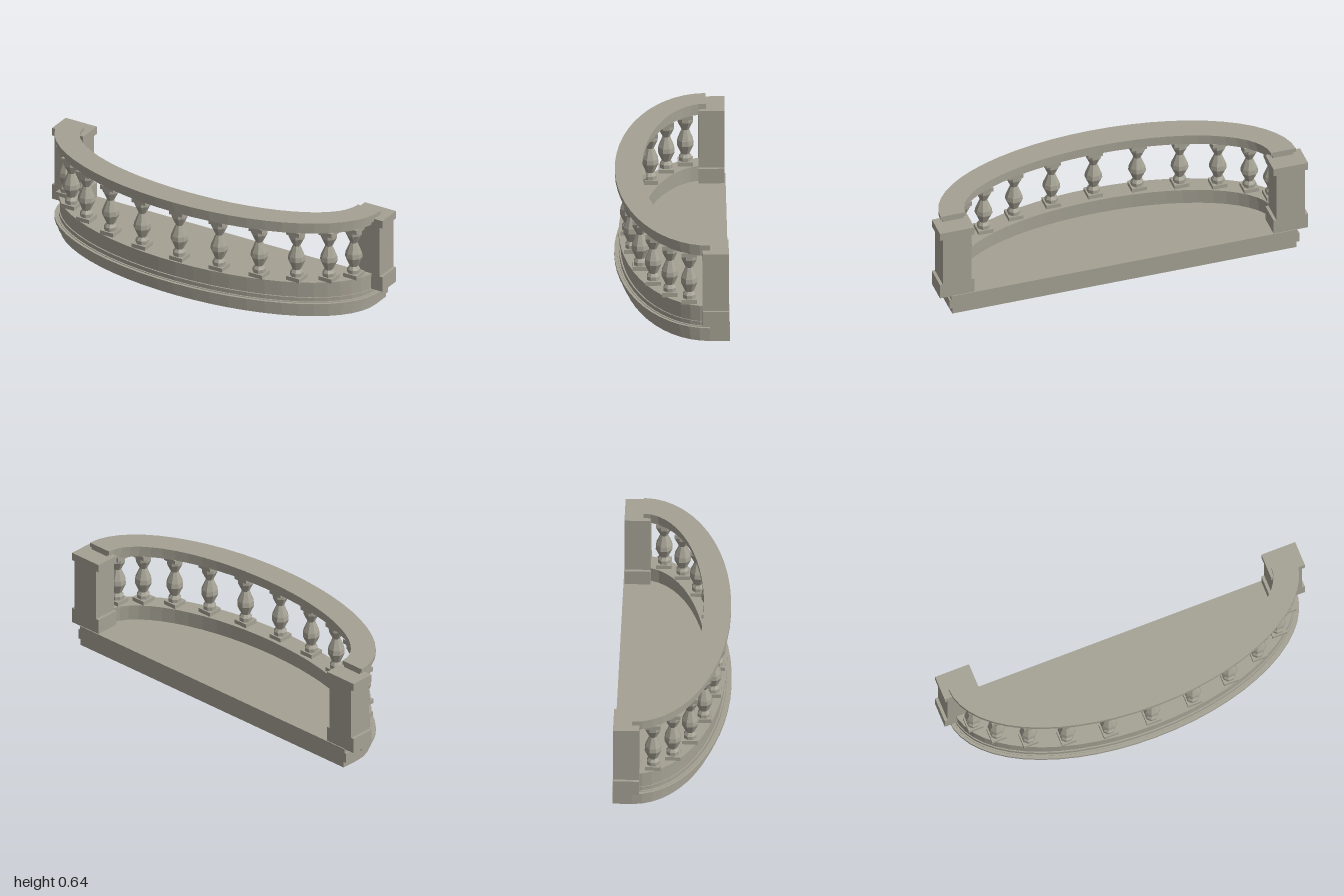
import * as THREE from 'three';

const CZ = -0.19;   // centre line of the half ellipses
const BACK = -0.292;
const SEG = 28;

export function createModel() {
  const model = new THREE.Group();
  const stone = new THREE.MeshStandardMaterial({ color: 0xa5a194, flatShading: true });
  stone.name = 'stone';
  const hookStone = new THREE.MeshStandardMaterial({ color: 0xa5a194, side: THREE.DoubleSide });
  hookStone.name = 'scrollStone';

  const add = (parent, name, geometry, material = stone) => {
    const mesh = new THREE.Mesh(geometry, material);
    mesh.name = name;
    parent.add(mesh);
    return mesh;
  };

  // points of a half ellipse in plan, from +x round the front to -x (shape y = -z)
  const arc = (rx, rz) => Array.from({ length: SEG + 1 }, (_, i) => {
    const a = Math.PI * i / SEG;
    return new THREE.Vector2(rx * Math.cos(a), -CZ - rz * Math.sin(a));
  });

  // extrude a plan outline from y0 up to y1
  const slab = (points, y0, y1) => {
    const g = new THREE.ExtrudeGeometry(new THREE.Shape(points), { depth: y1 - y0, bevelEnabled: false });
    g.rotateX(-Math.PI / 2);
    g.translate(0, y0, 0);
    return g;
  };
  const ring = (rx, rz, ix, iz, y0, y1) => slab([...arc(rx, rz), ...arc(ix, iz).reverse()], y0, y1);
  const floor = (rx, rz, y0, y1) => slab(
    [...arc(rx, rz), new THREE.Vector2(-rx, -BACK), new THREE.Vector2(rx, -BACK)], y0, y1);

  // stepped floor slab with its projecting moulding
  const base = new THREE.Group();
  base.name = 'floorSlab';
  model.add(base);
  [[0.935, 0.45, 0.09, 0.123], [0.95, 0.467, 0.123, 0.178], [0.94, 0.458, 0.178, 0.2]]
    .forEach(t => add(base, 'floorTier', floor(...t)));
  add(base, 'floorMoulding', ring(0.965, 0.483, 0.83, 0.34, 0.16, 0.175));

  // low curved wall under the balusters
  add(model, 'parapetWall', ring(0.935, 0.45, 0.85, 0.36, 0.2, 0.268));
  add(model, 'parapetCap', ring(0.94, 0.46, 0.84, 0.35, 0.268, 0.288));

  // stepped handrail
  const rail = new THREE.Group();
  rail.name = 'handrail';
  model.add(rail);
  [[0.94, 0.455, 0.85, 0.365, 0.572, 0.593],
    [0.953, 0.47, 0.84, 0.352, 0.593, 0.62],
    [0.965, 0.48, 0.83, 0.34, 0.62, 0.642]].forEach(t => add(rail, 'railTier', ring(...t)));

  // balusters: eight-sided turned shaft between square blocks
  const profile = [[0.032, 0.308], [0.032, 0.33], [0.021, 0.347], [0.043, 0.4], [0.04, 0.425],
    [0.018, 0.483], [0.039, 0.53], [0.039, 0.553]]
    .map(([r, y]) => new THREE.Vector2(r / Math.cos(Math.PI / 8), y));
  const shaft = new THREE.LatheGeometry(profile, 8, Math.PI / 8);
  const block = new THREE.BoxGeometry(0.08, 0.024, 0.08);
  for (let i = 1; i <= 11; i++) {
    const a = Math.PI * i / 12;
    const baluster = new THREE.Group();
    baluster.name = 'baluster';
    baluster.position.set(0.9 * Math.cos(a), 0, CZ + 0.41 * Math.sin(a));
    add(baluster, 'balusterShaft', shaft);
    add(baluster, 'balusterFoot', block).position.y = 0.298;
    add(baluster, 'balusterHead', block).position.y = 0.562;
    model.add(baluster);
  }

  // end posts with wider foot and cap
  for (const side of [1, -1]) {
    const post = new THREE.Group();
    post.name = side > 0 ? 'leftPost' : 'rightPost';
    post.position.set(side * 0.906, 0, -0.2195);
    [['postFoot', 0.188, 0.198, 0.282], ['postShaft', 0.156, 0.282, 0.565], ['postCap', 0.188, 0.565, 0.608]]
      .forEach(([name, w, y0, y1]) => {
        add(post, name, new THREE.BoxGeometry(w, y1 - y0, 0.135)).position.y = (y0 + y1) / 2;
      });
    model.add(post);
  }

  // flat scrolls under the floor, each a ribbon along a spiral (z, y)
  const spiral = new THREE.CatmullRomCurve3([[0.01, 0.004], [-0.009, 0.012], [-0.021, 0.029],
    [-0.023, 0.048], [-0.012, 0.066], [0.004, 0.073], [0.019, 0.069], [0.028, 0.056],
    [0.027, 0.044], [0.018, 0.036], [0.008, 0.038]].map(([z, y]) => new THREE.Vector3(z, y, 0)));
  const outer = [], inner = [];
  for (let i = 0; i <= 24; i++) {
    const p = spiral.getPoint(i / 24), t = spiral.getTangent(i / 24);
    outer.push(new THREE.Vector2(p.x - t.y * 0.003, p.y + t.x * 0.003));
    inner.push(new THREE.Vector2(p.x + t.y * 0.003, p.y - t.x * 0.003));
  }
  const scroll = new THREE.ShapeGeometry(new THREE.Shape([...outer, ...inner.reverse()]));
  scroll.rotateY(-Math.PI / 2);
  for (const x of [-0.415, -0.25, 0.25, 0.415]) add(model, 'scroll', scroll, hookStone).position.x = x;

  return model;
}
